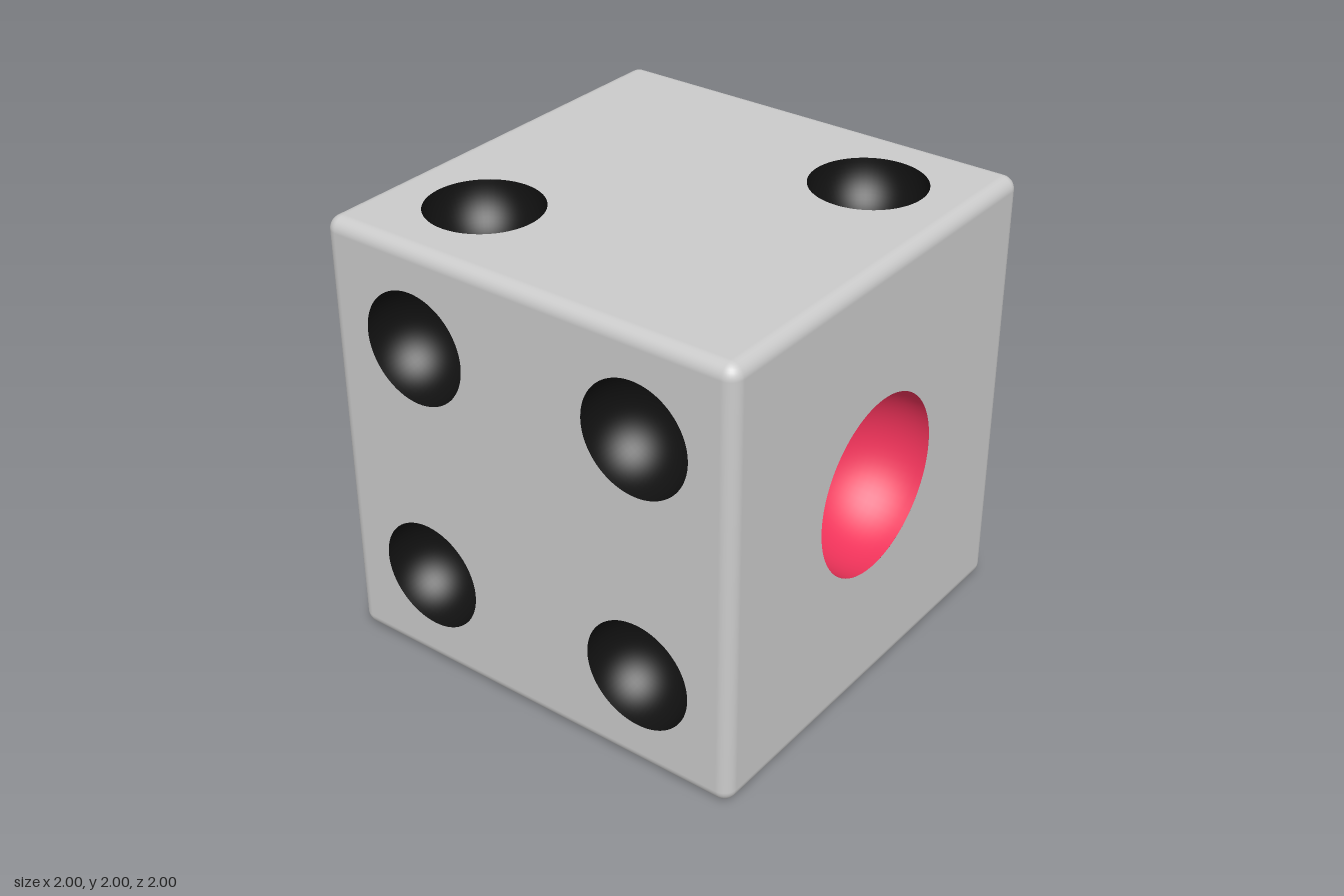
import * as THREE from 'three';
import { mergeGeometries } from 'three/addons/utils/BufferGeometryUtils.js';

const EDGE = 0.06;        // rounding radius of edges and corners
const FLAT = 1 - EDGE;    // half width of a flat face
const P = 0.55;           // pip offset from the face centre
const Q = Math.PI / 2;
const SEG = 64;

// Each face: rotation that carries +z to its side, pip radius and pip centres
const FACES = [
  { name: 'one', rot: [0, 0], r: 0.4, pips: [[0, 0]] },
  { name: 'two', rot: [-Q, 0], r: 0.25, pips: [[-P, P], [P, -P]] },
  { name: 'three', rot: [0, Q], r: 0.25, pips: [[-P, -P], [0, 0], [P, P]] },
  { name: 'four', rot: [0, -Q], r: 0.25, pips: [[-P, -P], [P, -P], [-P, P], [P, P]] },
  { name: 'five', rot: [Q, 0], r: 0.25, pips: [[-P, -P], [P, -P], [0, 0], [-P, P], [P, P]] },
  { name: 'six', rot: [0, 2 * Q], r: 0.25, pips: [[-P, -P], [-P, 0], [-P, P], [P, -P], [P, 0], [P, P]] },
];

// Flat square with a round opening for every pip
function faceGeometry({ rot, r, pips }) {
  const shape = new THREE.Shape();
  shape.moveTo(-FLAT, -FLAT).lineTo(FLAT, -FLAT).lineTo(FLAT, FLAT).lineTo(-FLAT, FLAT).closePath();
  for (const [x, y] of pips) {
    shape.holes.push(new THREE.Path().absarc(x, y, r, 0, 2 * Math.PI, true));
  }
  return new THREE.ShapeGeometry(shape, SEG).translate(0, 0, 1).rotateX(rot[0]).rotateY(rot[1]);
}

// Hemispherical hollow, profile runs from rim to bottom so it faces inward
function bowlGeometry(r) {
  const profile = [];
  for (let i = 0; i <= 20; i++) {
    const a = (i / 20) * Q;
    profile.push(new THREE.Vector2(i === 20 ? 0 : r * Math.cos(a), -r * Math.sin(a)));
  }
  return new THREE.LatheGeometry(profile, SEG).rotateX(Q);
}

// Quarter-round edges and sphere-octant corners
function roundingGeometries() {
  const parts = [];
  for (let k = 0; k < 4; k++) {
    const edge = new THREE.CylinderGeometry(EDGE, EDGE, 2 * FLAT, 8, 1, true, 0, Q)
      .translate(FLAT, 0, FLAT).rotateY(k * Q);
    parts.push(edge, edge.clone().rotateX(Q), edge.clone().rotateZ(Q));
    const corner = new THREE.SphereGeometry(EDGE, 8, 8, Q, Q, 0, Q)
      .translate(FLAT, FLAT, FLAT).rotateY(k * Q);
    parts.push(corner, corner.clone().rotateX(Math.PI));
  }
  return parts;
}

export function createModel() {
  const model = new THREE.Group();
  model.name = 'die';
  const grey = new THREE.MeshStandardMaterial({ color: 0xcccccc });
  const red = new THREE.MeshStandardMaterial({ color: 0xf0335a });
  const black = new THREE.MeshStandardMaterial({ color: 0x111111 });

  // Cube shell
  const body = new THREE.Mesh(
    mergeGeometries([...FACES.map(faceGeometry), ...roundingGeometries()]), grey);
  body.name = 'body';
  body.position.y = 1;
  model.add(body);

  // Pips, grouped by face
  for (const { name, rot, r, pips } of FACES) {
    const group = new THREE.Group();
    group.name = name + 'Pips';
    group.position.y = 1;
    group.rotation.set(rot[0], rot[1], 0);
    const bowl = bowlGeometry(r);
    for (const [x, y] of pips) {
      const pip = new THREE.Mesh(bowl, name === 'one' ? red : black);
      pip.name = 'pip';
      pip.position.set(x, y, 1);
      group.add(pip);
    }
    model.add(group);
  }
  return model;
}
